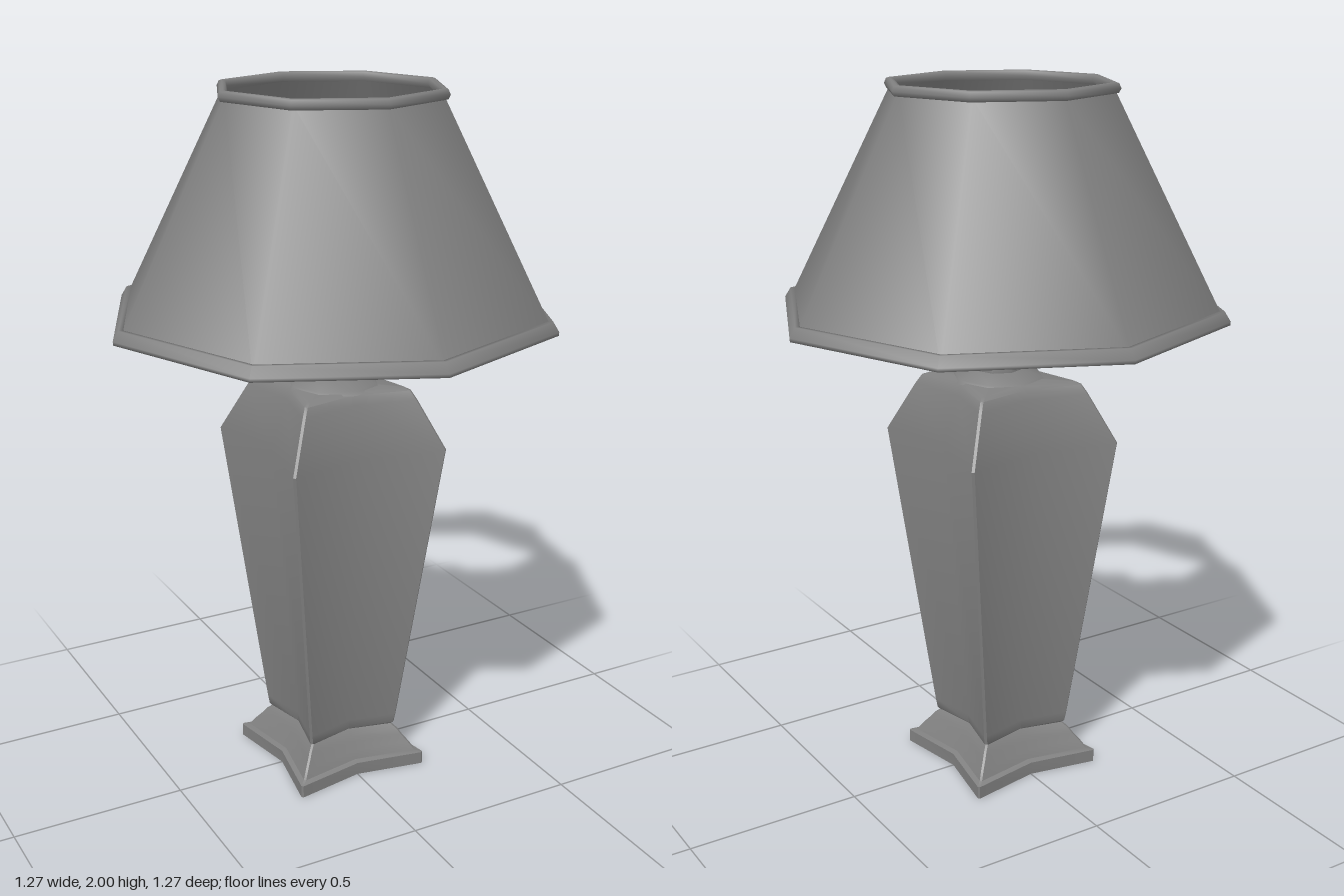
import * as THREE from 'three';
import { toCreasedNormals } from 'three/addons/utils/BufferGeometryUtils.js';

const COLOR = 0x808080;
const material = new THREE.MeshStandardMaterial({ color: COLOR });
const thin = new THREE.MeshStandardMaterial({ color: COLOR, side: THREE.DoubleSide });
const TWIST = -0.02;

function addMesh(parent, name, geometry, mat = material) {
  const mesh = new THREE.Mesh(geometry, mat);
  mesh.name = name;
  parent.add(mesh);
  return mesh;
}

// Profile of [radius, height] pairs turned around the vertical axis, eight-sided
function turned(profile) {
  return new THREE.LatheGeometry(profile.map(([r, y]) => new THREE.Vector2(r, y)), 8);
}

// Square outline with sides kinked inward at the middle and small corner bevels
function concaveSquare(half, bow, bevel) {
  const outline = [];
  for (let side = 0; side < 4; side++) {
    const a = side * Math.PI / 2, c = Math.cos(a), s = Math.sin(a);
    for (const t of [-1, 0, 1]) {
      const u = t * (half - bevel);
      const v = half * (t === 0 ? 1 - bow : 1);
      outline.push([u * c + v * s, v * c - u * s]);
    }
  }
  return outline;
}

// Stack of concave squares, given as [half width, height], closed at both ends
function concaveLoft(levels, bow, bevel) {
  const positions = [], index = [];
  const n = 12;
  for (const [half, y] of levels) {
    for (const [x, z] of concaveSquare(half, bow, bevel)) positions.push(x, y, z);
  }
  for (let l = 0; l < levels.length - 1; l++) {
    for (let i = 0; i < n; i++) {
      const a = l * n + i, b = l * n + (i + 1) % n;
      index.push(a, b, a + n, b, b + n, a + n);
    }
  }
  const last = levels.length - 1, bottom = positions.length / 3;
  positions.push(0, levels[0][1], 0, 0, levels[last][1], 0);
  for (let i = 0; i < n; i++) {
    const j = (i + 1) % n;
    index.push(bottom, j, i, bottom + 1, last * n + i, last * n + j);
  }
  const geometry = new THREE.BufferGeometry();
  geometry.setAttribute('position', new THREE.Float32BufferAttribute(positions, 3));
  geometry.setIndex(index);
  return toCreasedNormals(geometry, 0.7);
}

export function createModel() {
  const lamp = new THREE.Group();
  lamp.name = 'tableLamp';

  // Foot with a coved upper edge
  addMesh(lamp, 'foot', concaveLoft([
    [0.204, 0], [0.204, 0.037], [0.187, 0.043], [0.174, 0.065],
    [0.158, 0.088], [0.148, 0.105], [0.136, 0.118], [0.13, 0.125],
  ], 0.18, 0.005));

  // Tapered body, widest at the shoulder
  addMesh(lamp, 'body', concaveLoft([
    [0.13, 0.117], [0.141, 0.126], [0.145, 0.155], [0.239, 1.01],
    [0.178, 1.15], [0.165, 1.175], [0.15, 1.183],
  ], 0.21, 0.006));

  // Fittings between body and shade, set slightly forward
  const fittings = new THREE.Group();
  fittings.name = 'fittings';
  fittings.position.z = 0.012;
  addMesh(fittings, 'neckCap', toCreasedNormals(turned([
    [0, 1.178], [0.135, 1.178], [0.125, 1.188], [0.07, 1.207],
    [0.07, 1.232], [0.058, 1.244], [0, 1.244],
  ]), 0.9));
  addMesh(fittings, 'socket', toCreasedNormals(turned([
    [0.04, 1.24], [0.04, 1.25], [0.053, 1.255], [0.053, 1.3],
    [0.04, 1.307], [0.04, 1.42], [0, 1.42],
  ]), 0.9));

  // Switch on the front of the socket
  const lampSwitch = new THREE.Group();
  lampSwitch.name = 'switch';
  lampSwitch.position.y = 1.275;
  lampSwitch.rotation.x = Math.PI / 2;
  addMesh(lampSwitch, 'switchStem', toCreasedNormals(turned([
    [0.022, 0.04], [0.022, 0.068], [0.011, 0.072], [0.011, 0.108],
    [0.022, 0.114], [0.022, 0.126], [0, 0.126],
  ]), 0.7));
  fittings.add(lampSwitch);

  // Bulb
  addMesh(fittings, 'bulb', turned([
    [0.042, 1.4], [0.048, 1.46], [0.06, 1.535], [0.074, 1.58],
    [0.072, 1.61], [0.055, 1.642], [0.03, 1.658], [0, 1.664],
  ]));

  // Four spokes carrying the shade
  for (let i = 0; i < 4; i++) {
    const spoke = new THREE.CylinderGeometry(0.006, 0.006, 0.57, 6);
    spoke.rotateX(Math.PI / 2);
    spoke.translate(0, 1.39, 0.315);
    spoke.rotateY(i * Math.PI / 2 + TWIST / 2);
    addMesh(fittings, 'shadeSpoke', spoke);
  }
  lamp.add(fittings);

  // Eight-sided shade with rounded trim on both rims
  const shade = new THREE.Group();
  shade.name = 'shade';
  shade.rotation.y = TWIST;
  addMesh(shade, 'shadePanels', turned([[0.615, 1.385], [0.305, 1.985]]), thin);
  addMesh(shade, 'lowerTrim', turned([
    [0.608, 1.368], [0.634, 1.368], [0.635, 1.378], [0.618, 1.405],
    [0.603, 1.405], [0.6, 1.378], [0.608, 1.368],
  ]));
  addMesh(shade, 'upperTrim', turned([
    [0.302, 1.972], [0.318, 1.972], [0.324, 1.984], [0.318, 1.997],
    [0.309, 2], [0.299, 1.997], [0.295, 1.984], [0.302, 1.972],
  ]));
  lamp.add(shade);

  return lamp;
}
